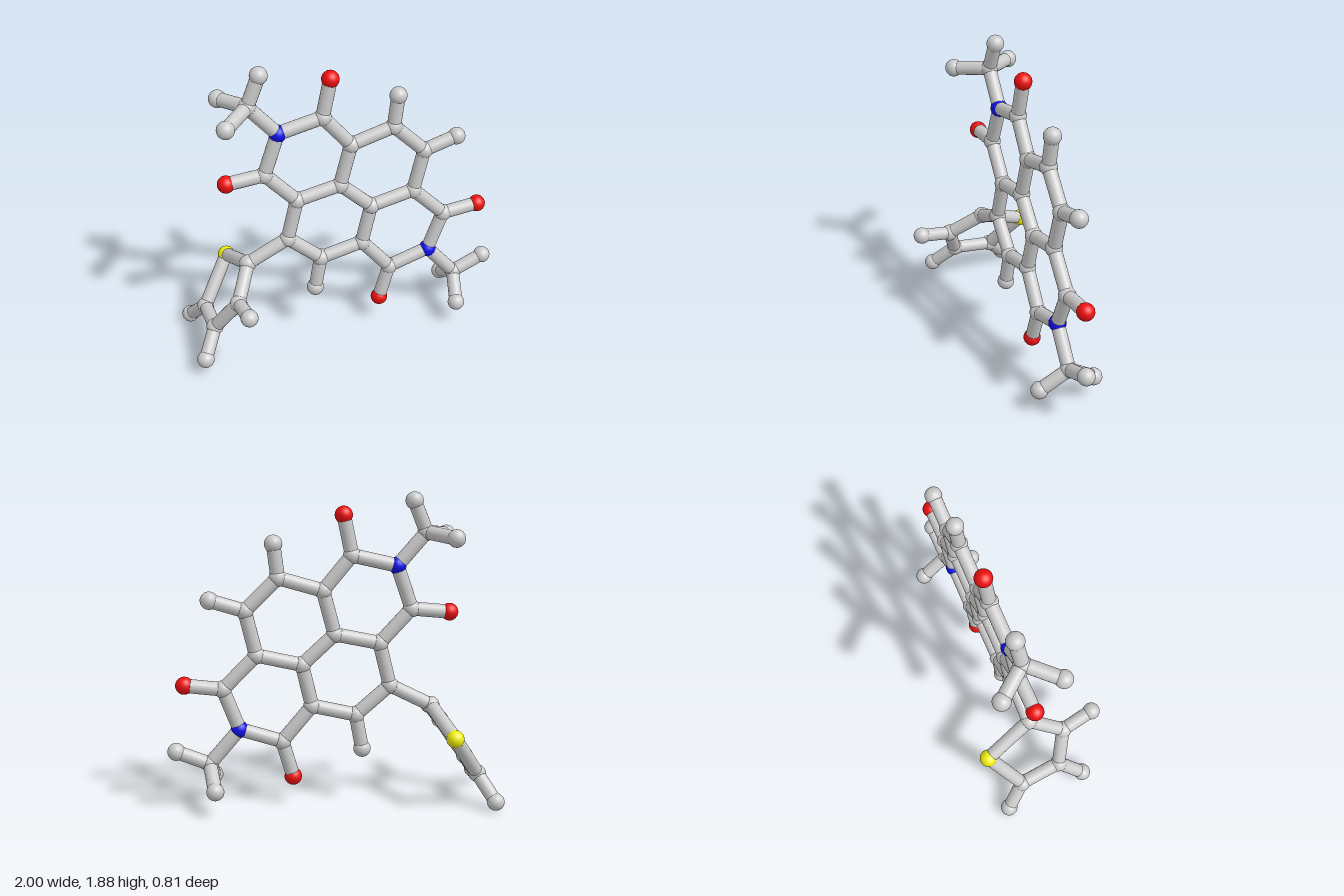
import * as THREE from 'three';

const ATOM_RADIUS = 0.053;
const BOND_RADIUS = 0.042;

// The fused ring core lies in one slightly tilted plane
const flat = (x, y) => [x, y, -0.053 - 0.045 * x - 0.039 * y];

const atoms = {
  // central fused rings
  c1: flat(0.07, 1.315), c2: flat(0.335, 1.395), c3: flat(0.53, 1.205), c4: flat(0.465, 0.935),
  c5: flat(0.195, 0.87), c6: flat(0, 1.05), c7: flat(-0.27, 0.99), c8: flat(-0.335, 0.727),
  c9: flat(-0.13, 0.55), c10: flat(0.135, 0.615),
  h2: flat(0.36, 1.595), h3: flat(0.735, 1.27), h9: flat(-0.17, 0.335),
  // upper imide ring and its methyl
  n1: flat(-0.37, 1.455), ca: flat(-0.10, 1.52), cb: flat(-0.46, 1.195),
  oa: flat(-0.05, 1.757), ob: flat(-0.69, 1.17),
  m1: flat(-0.54, 1.65), m1a: [-0.465, 1.835, -0.105], m1b: [-0.69, 1.62, 0.085], m1c: [-0.685, 1.63, -0.268],
  // lower imide ring and its methyl
  n2: flat(0.57, 0.485), cc: flat(0.315, 0.40), cd: flat(0.665, 0.735),
  oc: flat(0.25, 0.175), od: flat(0.89, 0.765),
  m2: flat(0.75, 0.275), m2a: [0.947, 0.36, -0.115], m2b: [0.725, 0.155, 0.075], m2c: [0.72, 0.155, -0.272],
  // five-sided side ring
  t2: [-0.59, 0.595, -0.05], s1: [-0.685, 0.463, -0.355], t5: [-0.855, 0.20, -0.195],
  t4: [-0.83, 0.235, 0.065], t3: [-0.685, 0.45, 0.145],
  ht3: [-0.65, 0.49, 0.348], ht4: [-0.913, 0.10, 0.20], ht5: [-0.945, 0.057, -0.318],
};

// Chains of bonded atoms
const chains = {
  coreBonds: ['c1 c2 c3 c4 c5 c6 c1', 'c6 c7 c8 c9 c10 c5', 'c2 h2', 'c3 h3', 'c9 h9'],
  upperImideBonds: ['c1 ca n1 cb c7', 'ca oa', 'cb ob', 'n1 m1'],
  upperMethylBonds: ['m1a m1 m1b', 'm1 m1c'],
  lowerImideBonds: ['c10 cc n2 cd c4', 'cc oc', 'cd od', 'n2 m2'],
  lowerMethylBonds: ['m2a m2 m2b', 'm2 m2c'],
  sideRingBonds: ['c8 t2 t3 t4 t5 s1 t2', 't3 ht3', 't4 ht4', 't5 ht5'],
};

const kinds = {
  c: ['carbonAtom', 0xcccccc], h: ['hydrogenAtom', 0xcccccc], m: ['methylAtom', 0xcccccc],
  t: ['sideRingCarbon', 0xcccccc], n: ['nitrogenAtom', 0x1010ee],
  o: ['oxygenAtom', 0xee1010], s: ['sulfurAtom', 0xf0f010],
};

export function createModel() {
  const model = new THREE.Group();
  model.name = 'molecule';
  const materials = {};
  const material = (color) =>
    (materials[color] ??= new THREE.MeshStandardMaterial({ color }));

  // Atoms: equal balls, coloured by element
  const ball = new THREE.SphereGeometry(ATOM_RADIUS, 24, 16);
  const atomGroup = new THREE.Group();
  atomGroup.name = 'atoms';
  for (const [key, position] of Object.entries(atoms)) {
    const [name, color] = kinds[key[0]];
    const atom = new THREE.Mesh(ball, material(color));
    atom.name = name;
    atom.position.set(...position);
    atomGroup.add(atom);
  }
  model.add(atomGroup);

  // Bonds: straight rods between neighbouring atoms
  const rod = new THREE.CylinderGeometry(BOND_RADIUS, BOND_RADIUS, 1, 20, 1, true);
  const up = new THREE.Vector3(0, 1, 0);
  for (const [name, lines] of Object.entries(chains)) {
    const group = new THREE.Group();
    group.name = name;
    for (const line of lines) {
      const points = line.split(' ').map((key) => new THREE.Vector3(...atoms[key]));
      for (let i = 1; i < points.length; i++) {
        const along = points[i].clone().sub(points[i - 1]);
        const bond = new THREE.Mesh(rod, material(0xcccccc));
        bond.name = 'bond';
        bond.position.copy(points[i]).add(points[i - 1]).multiplyScalar(0.5);
        bond.scale.y = along.length();
        bond.quaternion.setFromUnitVectors(up, along.normalize());
        group.add(bond);
      }
    }
    model.add(group);
  }
  return model;
}
